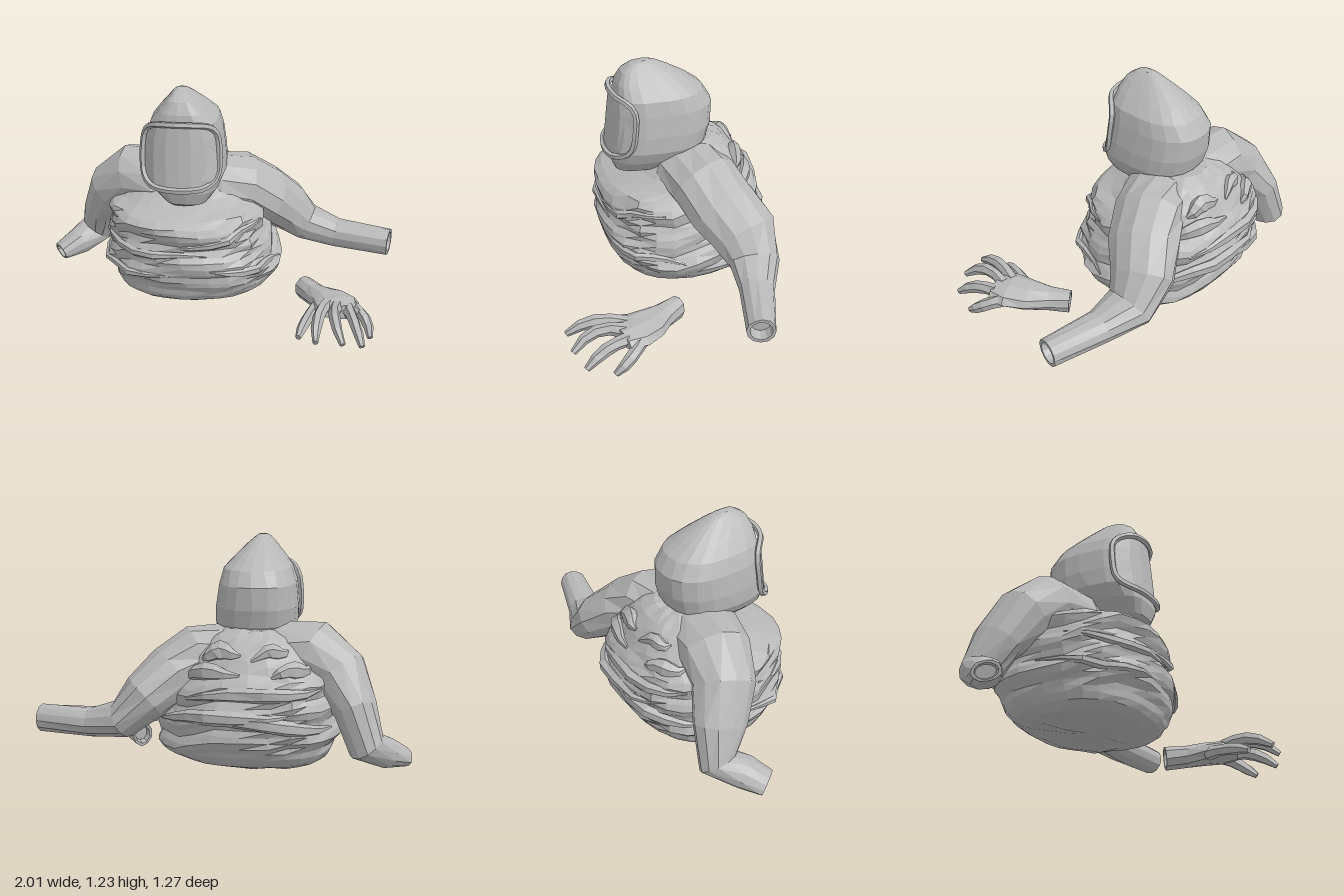
import * as THREE from 'three';

const V = (x, y, z) => new THREE.Vector3(x, y, z);

// Small seeded generator for the hand-cut facet irregularity
let seed = 7;
const rand = () => {
  seed = (seed * 16807) % 2147483647;
  return seed / 2147483647 - 0.5;
};

// Closed skin over a list of equal-length rings, capped at both ends
function skin(rings) {
  const n = rings[0].length, pos = [], idx = [];
  rings.forEach(r => r.forEach(p => pos.push(p.x, p.y, p.z)));
  for (let i = 0; i < rings.length - 1; i++) {
    for (let j = 0; j < n; j++) {
      const a = i * n + j, b = i * n + (j + 1) % n;
      idx.push(a, a + n, b, b, a + n, b + n);
    }
  }
  [0, rings.length - 1].forEach((k, end) => {
    const c = rings[k].reduce((s, p) => s.add(p), V(0, 0, 0)).divideScalar(n);
    const ci = pos.length / 3;
    pos.push(c.x, c.y, c.z);
    for (let j = 0; j < n; j++) {
      const a = k * n + j, b = k * n + (j + 1) % n;
      if (end) idx.push(ci, b, a); else idx.push(ci, a, b);
    }
  });
  const g = new THREE.BufferGeometry();
  g.setAttribute('position', new THREE.Float32BufferAttribute(pos, 3));
  g.setIndex(idx);
  const flat = g.toNonIndexed();
  flat.computeVertexNormals();
  return flat;
}

// Limb through sections [x, y, z, radius along ref, radius across]; hollow sinks the last end
function limb(sections, ref, sides, { hollow = 0, jitter = 0 } = {}) {
  const pts = sections.map(s => V(s[0], s[1], s[2]));
  const ring = (c, u, v, ru, rv, wob) => Array.from({ length: sides }, (_, j) => {
    const a = j / sides * Math.PI * 2, k = 1 + rand() * wob;
    return c.clone().addScaledVector(u, Math.cos(a) * ru * k).addScaledVector(v, Math.sin(a) * rv * k);
  });
  const rings = [];
  let t, u, v;
  sections.forEach((s, i) => {
    t = pts[Math.min(i + 1, pts.length - 1)].clone().sub(pts[Math.max(i - 1, 0)]).normalize();
    u = ref.clone().addScaledVector(t, -ref.dot(t)).normalize();
    v = u.clone().cross(t);
    rings.push(ring(pts[i], u, v, s[3], s[4], jitter));
  });
  if (hollow) {
    const s = sections.at(-1), c = pts.at(-1);
    rings.push(ring(c, u, v, s[3] * 0.78, s[4] * 0.78, 0));
    rings.push(ring(c.clone().addScaledVector(t, -hollow), u, v, s[3] * 0.68, s[4] * 0.68, 0));
  }
  return skin(rings);
}

// Interpolated row from a profile table keyed by its first column
function rowAt(table, y) {
  let i = 0;
  while (i < table.length - 2 && y > table[i + 1][0]) i++;
  const a = table[i], b = table[i + 1], k = (y - a[0]) / (b[0] - a[0]);
  return a.map((q, c) => q + (b[c] - q) * k);
}

// Point on a section bounded by [y, xMin, xMax, zMin, zMax]; lower powers are squarer
function around([y, x0, x1, z0, z1], a, scale, frontPower, backPower) {
  const power = Math.sin(a) > 0 ? frontPower : backPower;
  const f = q => Math.sign(q) * Math.abs(q) ** power;
  return V((x0 + x1) / 2 + f(Math.cos(a)) * (x1 - x0) / 2 * scale, y,
    (z0 + z1) / 2 + f(Math.sin(a)) * (z1 - z0) / 2 * scale);
}

const TORSO = [
  [0.02, -0.36, -0.06, -0.2, 0.05], [0.045, -0.5, 0.12, -0.36, 0.15],
  [0.09, -0.57, 0.28, -0.48, 0.23], [0.16, -0.6, 0.35, -0.55, 0.25],
  [0.22, -0.63, 0.36, -0.57, 0.28], [0.28, -0.63, 0.34, -0.59, 0.31],
  [0.36, -0.62, 0.3, -0.6, 0.285], [0.44, -0.62, 0.28, -0.6, 0.28],
  [0.52, -0.61, 0.25, -0.59, 0.295], [0.57, -0.58, 0.21, -0.56, 0.25],
  [0.6, -0.53, 0.17, -0.54, 0.11], [0.66, -0.48, 0.14, -0.5, 0.03],
  [0.74, -0.4, 0.06, -0.44, 0.0], [0.78, -0.3, -0.02, -0.36, -0.04],
];

// Torso surface with broad zigzag cloth folds
function torsoPoint(a, y) {
  const p = y / 0.15 + 0.5 * Math.sin(2 * a + 1) + 0.2 * Math.sin(5 * a);
  const ridge = Math.abs(p - Math.floor(p) - 0.5) * 4 - 1;
  const mask = THREE.MathUtils.smoothstep(y, 0.12, 0.2) * (1 - THREE.MathUtils.smoothstep(y, 0.56, 0.64));
  return around(rowAt(TORSO, y), a, 1 + 0.04 * ridge * mask, 0.88, 0.8);
}

const HELMET = [
  [0.625, -0.24, -0.08, -0.12, 0.17], [0.65, -0.27, -0.02, -0.2, 0.21],
  [0.72, -0.34, 0.03, -0.27, 0.23], [0.79, -0.38, 0.06, -0.32, 0.225],
  [0.88, -0.385, 0.055, -0.345, 0.21], [1.0, -0.375, 0.035, -0.35, 0.195],
  [1.08, -0.345, 0.015, -0.3, 0.19], [1.14, -0.3, -0.04, -0.22, 0.18],
  [1.2, -0.25, -0.1, -0.12, 0.15], [1.235, -0.22, -0.14, -0.05, 0.1], [1.248, -0.2, -0.16, 0.0, 0.05],
];

// Curved visor field: s and t run -1..1 across and up
const visorPoint = (s, t, lift) =>
  V(-0.172 + s * 0.207 * (1 - 0.13 * Math.max(t, 0) ** 2), 0.922 + t * 0.178 - 0.012 * s * s * t,
    0.232 - 0.018 * t - 0.115 * Math.abs(s) ** 3 + lift);

export function createModel() {
  seed = 7;
  const model = new THREE.Group();
  const suit = new THREE.MeshStandardMaterial({ color: 0xb8b8b8, flatShading: true });
  suit.name = 'suit grey';
  const add = (name, geo, parent = model) => {
    const m = new THREE.Mesh(geo, suit);
    m.name = name;
    parent.add(m);
  };
  const circle = (n, fn) => Array.from({ length: n }, (_, j) => fn(j / n * Math.PI * 2));

  // Creased torso
  const rows = Array.from({ length: 25 }, (_, i) => 0.02 + 0.76 * i / 24);
  add('torso', skin(rows.map(y => circle(28, a => torsoPoint(a, y).add(V(0, rand() * 0.012, 0))))));

  // Loose cloth rolls: start angle, end angle, start height, end height, thickness
  const folds = new THREE.Group();
  folds.name = 'clothFolds';
  model.add(folds);
  [[-2.7, -1.2, 0.3, 0.36, 0.035], [-2.0, -0.5, 0.4, 0.33, 0.035], [-2.5, -0.9, 0.52, 0.46, 0.035],
    [-1.5, -0.5, 0.6, 0.55, 0.04], [-2.6, -1.8, 0.62, 0.58, 0.04], [-1.5, -0.8, 0.69, 0.66, 0.045],
    [-2.3, -1.6, 0.71, 0.66, 0.035],
    [0.3, 1.7, 0.5, 0.42, 0.022], [1.3, 2.9, 0.36, 0.42, 0.022], [0.1, 1.3, 0.24, 0.3, 0.024],
    [1.7, 3.2, 0.24, 0.28, 0.022]].forEach(([a0, a1, y0, y1, r]) => {
    const path = Array.from({ length: 7 }, (_, i) => {
      const k = i / 6, w = Math.sin(Math.PI * (0.06 + 0.88 * k));
      const p = torsoPoint(a0 + (a1 - a0) * k, y0 + (y1 - y0) * k + 0.015 * Math.sin(k * 6 + a0));
      return [p.x, p.y, p.z, r * w * 1.2, r * w];
    });
    add('fold', limb(path, V(0, 1, 0), 6, { jitter: 0.2 }), folds);
  });

  // Sleeves ending in open cuffs
  add('rightArm', limb([
    [-0.2, 0.62, -0.2, 0.2, 0.16], [-0.34, 0.64, -0.19, 0.21, 0.165], [-0.49, 0.64, -0.23, 0.19, 0.18],
    [-0.62, 0.55, -0.27, 0.165, 0.155], [-0.715, 0.39, -0.355, 0.145, 0.115], [-0.775, 0.21, -0.405, 0.11, 0.1],
    [-0.87, 0.155, -0.31, 0.09, 0.08], [-0.965, 0.115, -0.235, 0.075, 0.05],
  ], V(0, 0, 1), 12, { hollow: 0.05, jitter: 0.08 }));
  add('leftArm', limb([
    [-0.12, 0.62, -0.2, 0.2, 0.16], [0.0, 0.63, -0.2, 0.21, 0.16], [0.13, 0.61, -0.24, 0.2, 0.17],
    [0.26, 0.53, -0.31, 0.2, 0.155], [0.38, 0.42, -0.4, 0.185, 0.135], [0.5, 0.305, -0.42, 0.14, 0.105],
    [0.68, 0.265, -0.375, 0.095, 0.08], [0.985, 0.255, -0.295, 0.075, 0.075],
  ], V(0, 0, 1), 12, { hollow: 0.06, jitter: 0.08 }));

  // Helmet shell, squarer at the front where the visor sits
  add('helmet', skin(HELMET.map(r => circle(20, a => around(r, a + rand() * 0.06, 1, 0.62, 0.85)))));

  // Visor pane
  const pane = new THREE.PlaneGeometry(2, 2, 6, 4), pp = pane.attributes.position;
  for (let i = 0; i < pp.count; i++) {
    const s = pp.getX(i), t = pp.getY(i);
    const p = visorPoint(s * (1 - 0.07 * t * t), t * (1 - 0.07 * s * s), -0.006);
    pp.setXYZ(i, p.x, p.y, p.z);
  }
  add('visor', pane);

  // Raised visor frame
  const corner = q => Math.sign(q) * Math.abs(q) ** 0.4;
  const rim = new THREE.CatmullRomCurve3(
    circle(28, a => visorPoint(corner(Math.cos(a)), corner(Math.sin(a)), 0.002)), true);
  add('visorFrame', new THREE.TubeGeometry(rim, 40, 0.017, 5, true));

  // Detached hand
  const hand = new THREE.Group();
  hand.name = 'hand';
  model.add(hand);
  add('palm', limb([
    [0.72, 0.14, 0.37, 0.1, 0.04], [0.69, 0.135, 0.29, 0.13, 0.055], [0.645, 0.125, 0.2, 0.11, 0.055],
    [0.57, 0.1, 0.11, 0.07, 0.06], [0.505, 0.09, 0.01, 0.055, 0.07],
  ], V(1, 0, 0), 9, { hollow: 0.04, jitter: 0.1 }), hand);
  // Each finger: root, knuckle, tip
  [['thumb', [0.59, 0.11, 0.24], [0.53, 0.1, 0.4], [0.495, 0.06, 0.52]],
    ['indexFinger', [0.64, 0.15, 0.32], [0.59, 0.175, 0.48], [0.585, 0.1, 0.63]],
    ['middleFinger', [0.69, 0.15, 0.34], [0.67, 0.18, 0.49], [0.725, 0.09, 0.62]],
    ['ringFinger', [0.75, 0.14, 0.34], [0.785, 0.135, 0.46], [0.825, 0.055, 0.57]],
    ['littleFinger', [0.77, 0.13, 0.27], [0.85, 0.1, 0.34], [0.87, 0.03, 0.43]],
  ].forEach(([name, a, b, c]) => {
    const curve = new THREE.QuadraticBezierCurve3(V(...a), V(...b).multiplyScalar(1.5)
      .addScaledVector(V(...a).add(V(...c)), -0.25), V(...c));
    const path = [0.042, 0.036, 0.036, 0.031, 0.018].map((r, i) => [...curve.getPoint(i / 4).toArray(), r * 0.85, r]);
    add(name, limb(path, V(1, 0, 0), 6, { jitter: 0.15 }), hand);
  });

  return model;
}
